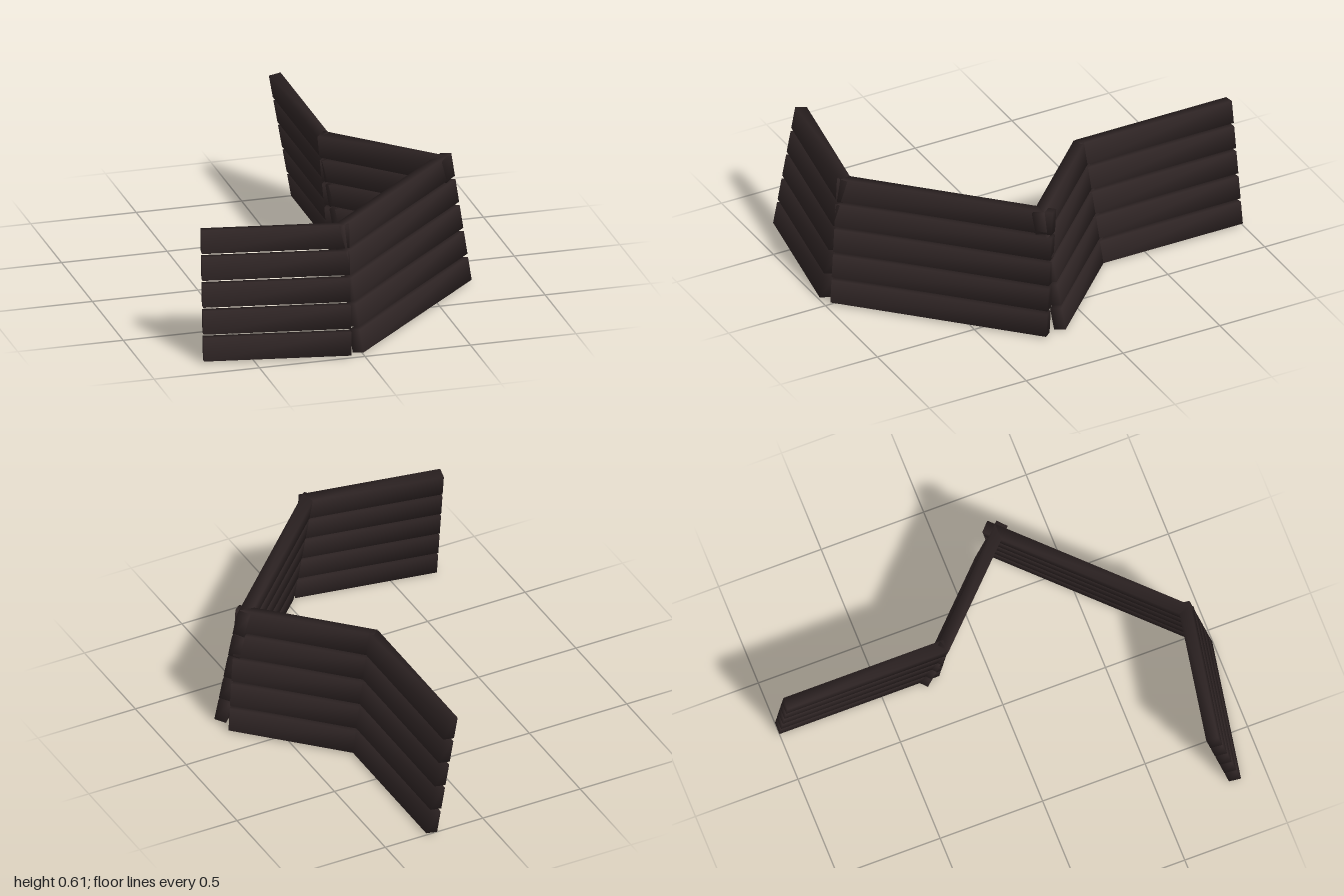
import * as THREE from 'three';
import { mergeVertices } from 'three/addons/utils/BufferGeometryUtils.js';

const PLANKS = 5, PITCH = 0.123;      // planks per panel, vertical spacing
const HEIGHT = 0.109, THICK = 0.0565; // plank cross-section
const LEAN = THREE.MathUtils.degToRad(10);
const DEPTH = 0.16;                   // footprint depth of a leaning panel

// outer foot line of each panel as [x, z] ends, left to right seen from outside
const PANELS = {
  rearPanel: [[0.29, -0.22], [0.29, -1]],
  cornerPanel: [[0.71, 0.14], [0.243, -0.327]],
  longPanel: [[0, 0.975], [0.725, 0.25]],
  frontPanel: [[-0.727, 0.88], [-0.062, 0.997]],
};

// box with shared corners, so its shading is soft across the edges
function plankGeometry(length) {
  const box = new THREE.BoxGeometry(length, HEIGHT, THICK);
  box.deleteAttribute('uv');
  box.deleteAttribute('normal');
  const geometry = mergeVertices(box);
  geometry.computeVertexNormals();
  return geometry;
}

function buildPanel(name, [[x0, z0], [x1, z1]], material) {
  const panel = new THREE.Group();
  panel.name = name;
  const length = Math.hypot(x1 - x0, z1 - z0);
  const geometry = plankGeometry(length);
  const halfY = (HEIGHT * Math.cos(LEAN) + THICK * Math.sin(LEAN)) / 2;
  const halfZ = (THICK * Math.cos(LEAN) + HEIGHT * Math.sin(LEAN)) / 2;

  // stacked planks, each one further inward than the one below
  for (let i = 0; i < PLANKS; i++) {
    const plank = new THREE.Mesh(geometry, material);
    plank.name = `plank${i + 1}`;
    plank.position.set(0, halfY + i * PITCH, -halfZ - i * PITCH * Math.tan(LEAN));
    plank.rotation.x = -LEAN;
    panel.add(plank);
  }
  panel.position.set((x0 + x1) / 2, 0, (z0 + z1) / 2);
  panel.rotation.y = Math.atan2(z0 - z1, x1 - x0);
  panel.userData.depth = DEPTH;
  return panel;
}

export function createModel() {
  const wood = new THREE.MeshStandardMaterial({ color: 0x2e2424 });
  wood.name = 'darkWood';
  const model = new THREE.Group();
  model.name = 'plankBarrier';
  for (const [name, ends] of Object.entries(PANELS)) model.add(buildPanel(name, ends, wood));
  return model;
}
